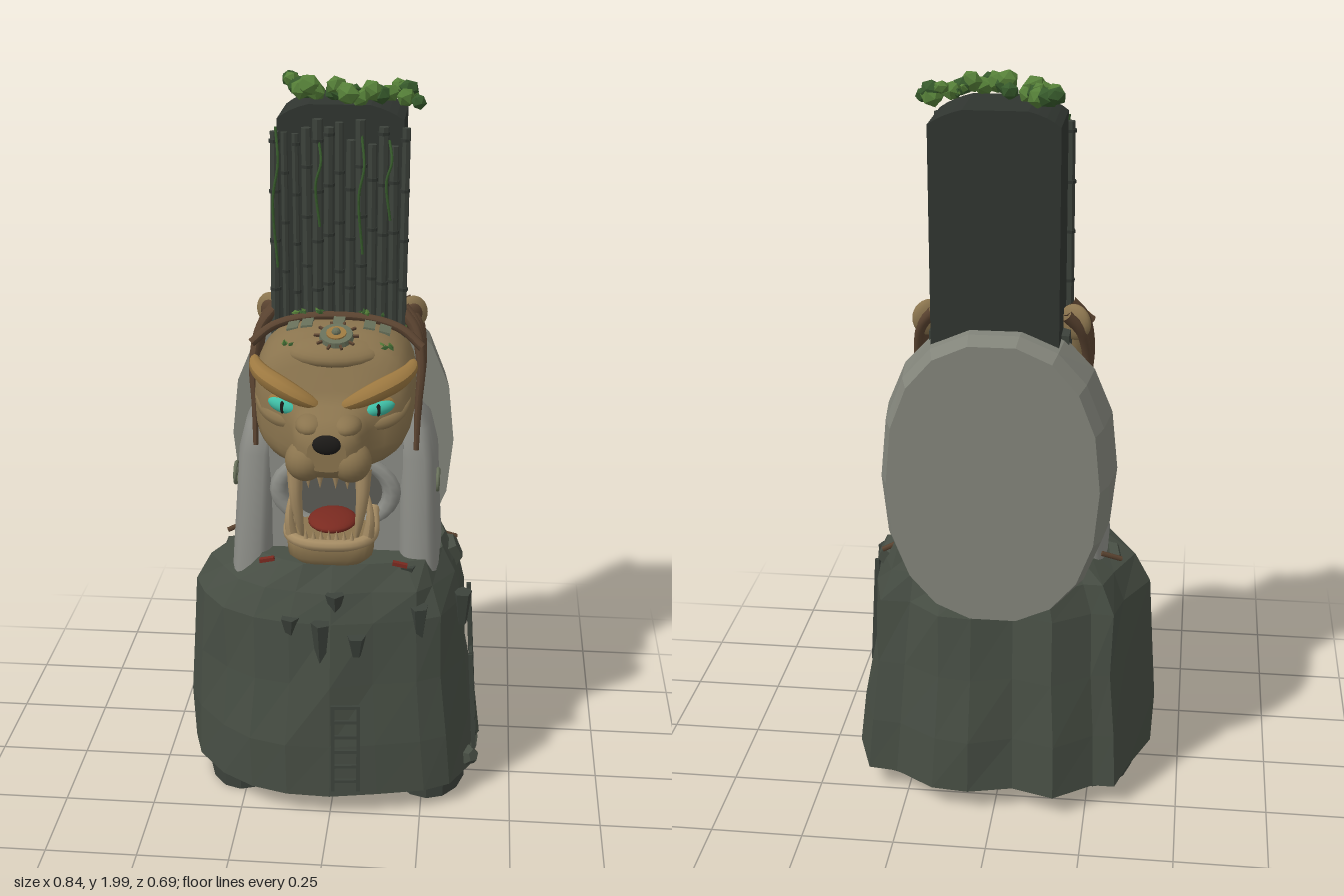
import * as THREE from 'three';

const mat = (color, flat = false) => new THREE.MeshStandardMaterial({ color, flatShading: flat });
const M = {
  rock: mat(0x474e44, true), darkRock: mat(0x3c423b, true), tower: mat(0x303530, true),
  stone: mat(0x82847a, true), shell: mat(0x8b8c86), throat: mat(0x5c5b55), tan: mat(0x8a744e), ochre: mat(0x9c7840),
  root: mat(0x5a4330), bone: mat(0xa58c64), black: mat(0x1c1a18), teal: mat(0x3fbfa6),
  red: mat(0x7a2a20), plate: mat(0x68705a, true), leaf: mat(0x557f38, true), leafDark: mat(0x36592b, true),
};
let seed = 7;
const rnd = () => (seed = (seed * 16807) % 2147483647) / 2147483647;
const V = (x, y, z) => new THREE.Vector3(x, y, z);

// Closed superellipse cross-section as [u, v] pairs
function oval(n, ru, rv, e = 2, cu = 0, cv = 0) {
  return Array.from({ length: n }, (_, i) => {
    const a = (i / n) * Math.PI * 2, c = Math.cos(a), s = Math.sin(a);
    return [cu + ru * Math.sign(c) * Math.abs(c) ** (2 / e), cv + rv * Math.sign(s) * Math.abs(s) ** (2 / e)];
  });
}
// Skin through rings of points with closed ends
function loft(rings) {
  const n = rings[0].length, pos = [], idx = [];
  rings.forEach(r => r.forEach(p => pos.push(p.x, p.y, p.z)));
  for (let i = 0; i < rings.length - 1; i++) for (let j = 0; j < n; j++) {
    const a = i * n + j, b = i * n + (j + 1) % n;
    idx.push(a, a + n, b, b, a + n, b + n);
  }
  [0, rings.length - 1].forEach((k, end) => {
    const c = rings[k].reduce((s, p) => s.add(p), V(0, 0, 0)).divideScalar(n), at = pos.length / 3;
    rings[k].forEach(p => pos.push(p.x, p.y, p.z));
    pos.push(c.x, c.y, c.z);
    for (let j = 0; j < n; j++) {
      const q = at + j, r = at + (j + 1) % n;
      idx.push(at + n, end ? r : q, end ? q : r);
    }
  });
  const g = new THREE.BufferGeometry();
  g.setAttribute('position', new THREE.Float32BufferAttribute(pos, 3));
  g.setIndex(idx);
  g.computeVertexNormals();
  return g;
}
const loftY = secs => loft(secs.map(([y, pts]) => pts.map(([u, v]) => V(u, y, v))));
const loftZ = secs => loft(secs.map(([z, pts]) => pts.map(([u, v]) => V(u, -v, z))));

// Tube whose radius follows a rule along its length
function taperedTube(pts, radiusAt, seg = 20) {
  const curve = new THREE.CatmullRomCurve3(pts.map(p => V(...p)));
  const g = new THREE.TubeGeometry(curve, seg, 0.01, 9), pos = g.attributes.position, v = V(0, 0, 0);
  for (let i = 0; i < pos.count; i++) {
    const t = Math.floor(i / 10) / seg, c = curve.getPointAt(t);
    v.fromBufferAttribute(pos, i).sub(c).multiplyScalar(radiusAt(t) / 0.01).add(c);
    pos.setXYZ(i, v.x, v.y, v.z);
  }
  g.computeVertexNormals();
  return g;
}

export function createModel() {
  const model = new THREE.Group();
  const add = (name, geo, material, p = [0, 0, 0], r = [0, 0, 0], s = [1, 1, 1], parent = model) => {
    const m = new THREE.Mesh(geo, material);
    m.name = name;
    m.position.set(...p); m.rotation.set(...r); m.scale.set(...s);
    parent.add(m);
  };
  const tube = (name, pts, r, material, seg = 20) => add(name, taperedTube(pts, () => r, seg), material);
  const ball = (name, material, p, s, r) => add(name, new THREE.SphereGeometry(1, 20, 14), material, p, r, s);
  const box = (name, w, h, d, material, p, r, parent) => add(name, new THREE.BoxGeometry(w, h, d), material, p, r, undefined, parent);

  // Rock mound: [y, left scale, right scale, depth scale, roughness]
  const foot = [[0.41, -0.11], [0.38, -0.03], [0.4, 0.05], [0.33, 0.18], [0.26, 0.22], [0.13, 0.25], [0, 0.275],
    [-0.12, 0.27], [-0.22, 0.24], [-0.31, 0.18], [-0.39, 0.08], [-0.42, -0.02], [-0.36, -0.17], [-0.33, -0.27],
    [-0.27, -0.27], [-0.165, -0.345], [-0.05, -0.31], [0.07, -0.34], [0.17, -0.33], [0.28, -0.26], [0.36, -0.25]];
  const levels = [[0.065, 1, 1, 1, 0], [0.22, 0.94, 1, 0.98, 0.025], [0.4, 0.9, 0.96, 0.93, 0.035], [0.58, 0.87, 0.95, 0.86, 0.03],
    [0.66, 0.84, 0.83, 0.78, 0.04], [0.73, 0.74, 0.64, 0.64, 0.03]];
  add('rockMound', loftY(levels.map(([y, left, right, depth, rough]) => [y, foot.map(([x, z]) => {
    const k = 1 + (rnd() - 0.5) * 2 * rough;
    return [x * (x > 0 ? left : right) * k, z * depth * k];
  })])), M.rock);

  // Feet under the mound
  for (const s of [1, -1]) add('foot', new THREE.CylinderGeometry(1, 1, 0.12, 14), M.darkRock, [s * 0.265, 0.06, -0.01], undefined, [0.107, 1, 0.17]);

  // Round slab on the back
  add('backSlab', loftZ([[-0.32, 0.275, 0.385], [-0.27, 0.295, 0.4], [-0.15, 0.31, 0.4]]
    .map(([z, a, b]) => [z, oval(18, a, b, 2.3, 0, -0.975)])), M.stone);

  // Core and throat
  box('core', 0.36, 0.68, 0.16, M.darkRock, [0, 1.0, -0.09]);
  box('throatWall', 0.36, 0.36, 0.1, M.shell, [0, 0.87, 0.02]);
  add('mouthRing', new THREE.TorusGeometry(0.145, 0.024, 8, 28), M.shell, [0, 0.91, 0.09], undefined, [1.05, 0.7, 1]);
  add('throat', new THREE.CircleGeometry(0.13, 24), M.throat, [0, 0.91, 0.085], undefined, [1.05, 0.75, 1]);

  // Side pillars with carved spirals and pegs
  for (const s of [1, -1]) {
    add('sidePillar', loftY([[0.66, 0.23, 0.06, -0.01, 0.138], [0.85, 0.222, 0.056, -0.02, 0.128], [1.0, 0.216, 0.054, -0.035, 0.115], [1.08, 0.2, 0.05, -0.04, 0.105], [1.12, 0.18, 0.03, -0.05, 0.07]]
      .map(([y, c, a, z, b]) => [y, oval(24, a, b, 3, s * c, z)])), M.shell);
    tube('spiral', Array.from({ length: 16 }, (_, i) => {
      const a = i * 0.62, r = 0.008 + i * 0.0019;
      return [s * 0.274, 0.93 + r * Math.sin(a), 0.045 + r * Math.cos(a)];
    }), 0.005, M.plate, 50);
    box('redMark', 0.04, 0.01, 0.015, M.red, [s * 0.18, 0.727, 0.15], [0, 0, s * -0.2]);
    add('peg', new THREE.CylinderGeometry(0.007, 0.007, 0.06, 6), M.root, [s * 0.3, 0.7, -0.12], [0, 0.3, s * 1.2]);
    add('post', new THREE.CylinderGeometry(0.006, 0.006, 0.06, 6), M.root, [s * 0.275, 0.73, 0.04], [0.6, 0, 0]);
  }

  // Chimney tower with an arched top and jointed poles on its front
  const outline = new THREE.Shape();
  outline.moveTo(-0.16, 1.25); outline.lineTo(0.165, 1.25); outline.lineTo(0.165, 1.885);
  outline.quadraticCurveTo(0.13, 1.91, 0.08, 1.922); outline.lineTo(-0.08, 1.922);
  outline.quadraticCurveTo(-0.13, 1.91, -0.16, 1.885);
  add('tower', new THREE.ExtrudeGeometry(outline, { depth: 0.21, bevelEnabled: false, curveSegments: 4 }), M.tower, [0, 0, -0.235]);
  for (let i = 0; i < 13; i++) {
    const x = -0.166 + i * 0.028, top = 1.81 + rnd() * 0.08, r = 0.009 + rnd() * 0.005, z = -0.014 + rnd() * 0.016;
    add('towerPole', new THREE.CylinderGeometry(r, r, top - 1.3, 7), M.darkRock, [x, (top + 1.3) / 2, z], [0, 0, (rnd() - 0.5) * 0.02]);
    for (let y = 1.42 + rnd() * 0.1; y < top; y += 0.13)
      add('poleJoint', new THREE.CylinderGeometry(r * 1.2, r * 1.2, 0.008, 7), M.tower, [x, y, z]);
  }
  for (const [x, y, l] of [[-0.16, 1.69, 0.36], [-0.05, 1.73, 0.22], [0.06, 1.7, 0.3], [0.13, 1.74, 0.2]])
    tube('hangingVine', [[x, y + l / 2, 0.005], [x + 0.008, y + l / 4, 0.03], [x - 0.005, y, 0.034], [x + 0.005, y - l / 2, 0.03]], 0.0035, M.leafDark);

  // Ivy on the tower top
  const ivy = new THREE.CatmullRomCurve3([V(-0.135, 1.95, -0.205), V(-0.11, 1.955, -0.17), V(-0.09, 1.945, -0.11), V(-0.02, 1.955, -0.085),
    V(0.03, 1.95, -0.03), V(0.09, 1.95, -0.06), V(0.14, 1.95, -0.135), V(0.185, 1.935, -0.08)]);
  for (let i = 0; i < 28; i++) {
    const p = ivy.getPointAt(i / 27), r = 0.017 + rnd() * 0.016;
    add('ivyClump', new THREE.IcosahedronGeometry(r, 0), i % 3 ? M.leaf : M.leafDark,
      [p.x + (rnd() - 0.5) * 0.035, p.y + (rnd() - 0.5) * 0.025, p.z + (rnd() - 0.5) * 0.035], [rnd() * 3, rnd() * 3, 0], [1, 0.85, 1]);
  }

  // Head: [z, half width, bottom, top]
  add('head', loftZ([[-0.12, 0.165, 1.08, 1.28], [-0.09, 0.2, 1.04, 1.34], [-0.02, 0.208, 1.025, 1.365], [0.06, 0.21, 1.02, 1.375], [0.12, 0.208, 1.02, 1.367], [0.165, 0.2, 1.02, 1.348],
    [0.197, 0.182, 1.025, 1.305], [0.22, 0.14, 1.025, 1.24], [0.25, 0.1, 1.03, 1.21], [0.3, 0.088, 1.035, 1.192], [0.322, 0.075, 1.045, 1.178], [0.335, 0.05, 1.065, 1.15]]
    .map(([z, w, b, t]) => [z, oval(36, w, (t - b) / 2, 2.9, 0, -(b + t) / 2)])), M.tan);
  ball('nose', M.black, [0, 1.138, 0.333], [0.037, 0.026, 0.014]);
  ball('crownBulge', M.tan, [0, 1.325, 0.14], [0.13, 0.035, 0.07], [0.25, 0, 0]);
  for (const s of [1, -1]) {
    ball('muzzleLobe', M.tan, [s * 0.058, 1.078, 0.287], [0.053, 0.054, 0.057]);
    ball('muzzleRidge', M.tan, [s * 0.045, 1.17, 0.275], [0.04, 0.028, 0.055]);
    ball('eyeSocket', M.ochre, [s * 0.122, 1.2, 0.2], [0.06, 0.034, 0.026], [0, s * 0.4, s * 0.2]);
    ball('eye', M.teal, [s * 0.123, 1.198, 0.215], [0.044, 0.021, 0.02], [0, s * 0.4, s * 0.2]);
    ball('pupil', M.black, [s * 0.123, 1.198, 0.233], [0.006, 0.017, 0.004]);
    // Brow and cheekbone ridges
    add('brow', taperedTube([[s * 0.02, 1.2, 0.235], [s * 0.07, 1.225, 0.238], [s * 0.125, 1.25, 0.225], [s * 0.175, 1.27, 0.192], [s * 0.2, 1.285, 0.155], [s * 0.207, 1.3, 0.12]],
      t => 0.001 + 0.026 * Math.sin(Math.PI * t) ** 0.5), M.ochre);
    add('cheekbone', taperedTube([[s * 0.05, 1.165, 0.235], [s * 0.11, 1.155, 0.22], [s * 0.165, 1.17, 0.19], [s * 0.2, 1.21, 0.15]],
      t => 0.001 + 0.02 * Math.sin(Math.PI * t) ** 0.5), M.tan);
    // Ears
    ball('ear', M.tan, [s * 0.19, 1.355, -0.1], [0.046, 0.048, 0.022], [0, s * 0.5, 0]);
    ball('innerEar', M.root, [s * 0.193, 1.357, -0.084], [0.028, 0.03, 0.012], [0, s * 0.5, 0]);
    // Roots wrapping the head
    for (let i = 0; i < 4; i++) {
      const z = 0.06 - i * 0.042;
      add('root', taperedTube([[s * 0.17, 1.385, z - 0.075], [s * 0.205, 1.34, z - 0.055], [s * 0.222, 1.25, z - 0.02], [s * 0.217, 1.14, z], [s * 0.215, 1.03 + i * 0.012, z + 0.015]],
        t => 0.016 - 0.009 * t), M.root);
    }
    // Fangs
    add('upperFang', taperedTube([[s * 0.088, 1.05, 0.265], [s * 0.086, 0.97, 0.272], [s * 0.078, 0.9, 0.265], [s * 0.07, 0.84, 0.25]], t => 0.021 * (1 - t) ** 0.6 + 0.001, 14), M.bone);
    add('lowerFang', taperedTube([[s * 0.1, 0.845, 0.245], [s * 0.106, 0.9, 0.25], [s * 0.1, 0.97, 0.24]], t => 0.015 * (1 - t) ** 0.6 + 0.001, 10), M.bone);
    for (const x of [0.02, 0.05]) add('smallTooth', new THREE.ConeGeometry(0.009, 0.035, 7), M.bone, [s * x, 1.022, 0.3], [Math.PI, 0, 0]);
  }
  tube('crownRoot', [[-0.225, 1.31, 0.055], [-0.17, 1.352, 0.035], [-0.08, 1.374, 0.018], [0.08, 1.374, 0.018], [0.17, 1.352, 0.035], [0.225, 1.31, 0.055]], 0.012, M.root, 30);

  // Lower jaw and tongue
  add('jaw', loftY([[0.775, 0.09, 0.07], [0.795, 0.112, 0.085], [0.83, 0.115, 0.087], [0.85, 0.1, 0.075]]
    .map(([y, a, b]) => [y, oval(24, a, b, 3.5, 0, 0.2)])), M.tan);
  tube('jawLip', [[-0.105, 0.865, 0.1], [-0.105, 0.845, 0.24], [-0.06, 0.838, 0.275], [0.06, 0.838, 0.275], [0.105, 0.845, 0.24], [0.105, 0.865, 0.1]], 0.016, M.bone, 30);
  ball('tongue', M.red, [0, 0.862, 0.17], [0.065, 0.02, 0.08]);
  for (let i = -3; i <= 3; i++) add('jawTooth', new THREE.ConeGeometry(0.007, 0.025, 6), M.bone, [i * 0.02, 0.865, 0.275]);

  // Spiked medallion and plates on the crown
  const medal = new THREE.Group();
  medal.name = 'medallion';
  medal.position.set(0.008, 1.365, 0.145);
  medal.rotation.x = 0.35;
  model.add(medal);
  add('disc', new THREE.CylinderGeometry(0.042, 0.045, 0.014, 20), M.plate, undefined, undefined, undefined, medal);
  add('discCentre', new THREE.CylinderGeometry(0.026, 0.026, 0.022, 16), M.ochre, undefined, undefined, undefined, medal);
  add('hub', new THREE.SphereGeometry(0.012, 10, 8), M.plate, [0, 0.012, 0], undefined, undefined, medal);
  for (let i = 0; i < 10; i++) {
    const a = i * Math.PI / 5;
    box('spike', 0.02, 0.006, 0.006, M.root, [0.048 * Math.cos(a), 0, -0.048 * Math.sin(a)], [0, a, 0], medal);
  }
  for (const x of [-0.112, -0.075, 0.007, 0.087, 0.127])
    box('crownPlate', 0.03, 0.012, 0.055, M.plate, [x, 1.375 - x * x * 1.2, 0.062], [0.05, 0, -x * 1.8]);
  for (const [x, y, z] of [[-0.1, 1.385, 0.01], [-0.04, 1.39, 0.015], [0.07, 1.39, 0.015], [0.13, 1.38, 0.0], [0.19, 1.355, -0.01], [0.135, 1.34, 0.15], [-0.12, 1.34, 0.15]])
    for (let k = 0; k < 4; k++)
      add('crownLeaf', new THREE.OctahedronGeometry(0.012), k % 2 ? M.leaf : M.leafDark, [x + (rnd() - 0.5) * 0.03, y, z + (rnd() - 0.5) * 0.02], [rnd(), rnd() * 3, rnd()], [1, 0.4, 0.6]);

  // Ladders leaning on the mound
  function ladder(p, height, yaw, width) {
    const g = new THREE.Group();
    g.name = 'ladder';
    g.position.set(...p);
    g.rotation.set(-0.06, yaw, 0, 'YXZ');
    for (const s of [1, -1]) box('ladderRail', 0.01, height, 0.012, M.darkRock, [s * width / 2, height / 2, 0], undefined, g);
    for (let y = 0.03; y < height; y += 0.045) box('ladderRung', width, 0.009, 0.009, M.darkRock, [0, y, 0], undefined, g);
    model.add(g);
  }
  ladder([0.045, 0.09, 0.278], 0.26, 0.1, 0.07);
  ladder([0.395, 0.13, 0.06], 0.3, Math.PI / 2, 0.055);
  ladder([0.385, 0.28, 0.015], 0.32, Math.PI / 2, 0.055);

  // Hanging stone stubs and boulders on the mound
  for (const [x, y, z, h] of [[-0.025, 0.53, 0.24, 0.12], [-0.11, 0.57, 0.225, 0.05], [0.07, 0.52, 0.235, 0.06], [0.01, 0.64, 0.215, 0.05],
    [0.235, 0.57, 0.18, 0.1], [0.35, 0.56, 0.06, 0.1], [0.2, 0.69, 0.13, 0.06]])
    add('stoneStub', new THREE.CylinderGeometry(0.027, 0.014, h, 5), M.darkRock, [x, y, z], [0.08, x * 9, 0]);
  for (const [x, y, z, r] of [[0.37, 0.12, 0.03, 0.04], [0.38, 0.1, 0.08, 0.03], [0.29, 0.66, -0.08, 0.06], [-0.28, 0.65, -0.05, 0.06]])
    add('boulder', new THREE.DodecahedronGeometry(r), M.rock, [x, y, z], [x * 5, y * 7, 0]);

  return model;
}
